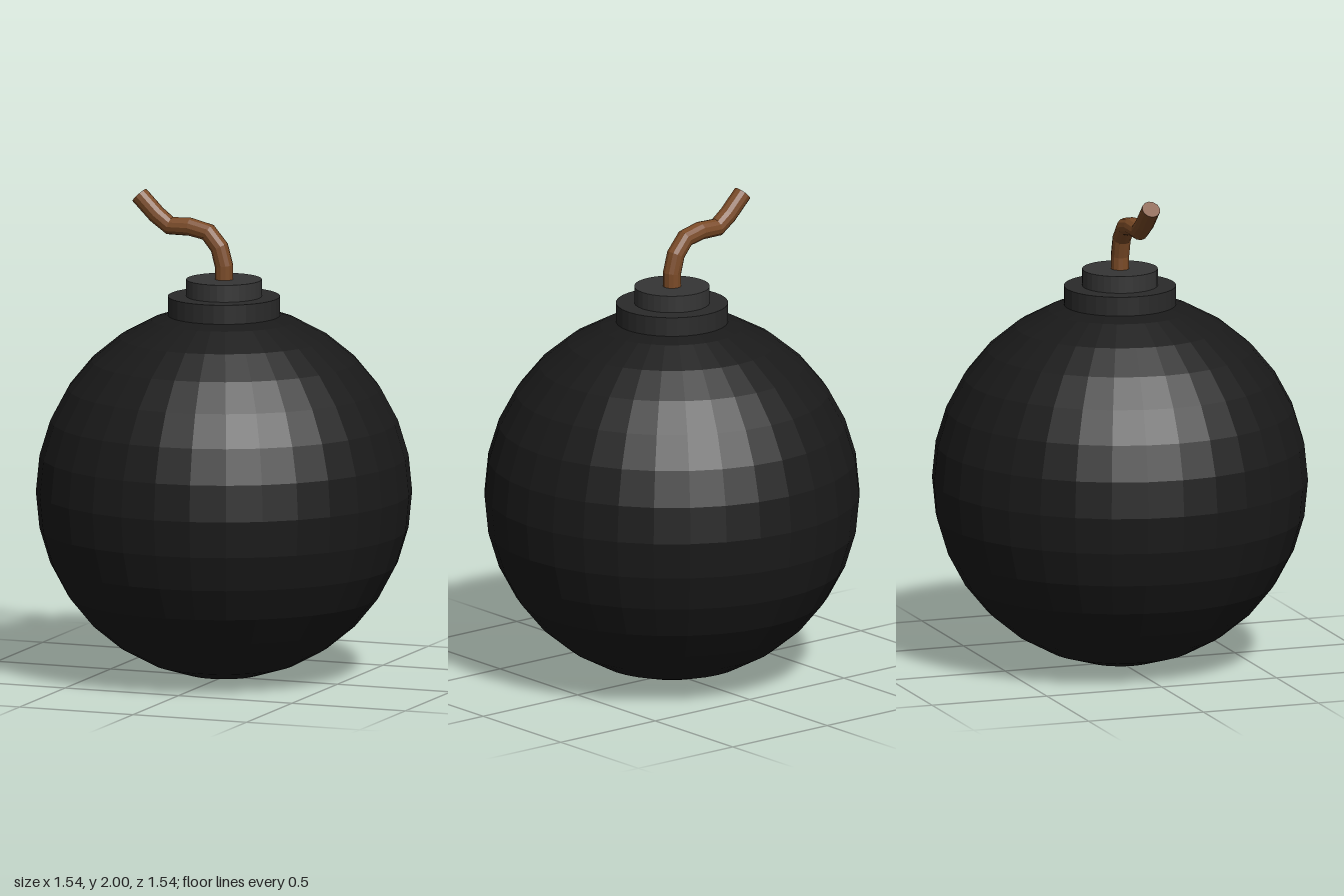
import * as THREE from 'three';

function part(name, geometry, color, y = 0) {
  const material = new THREE.MeshStandardMaterial({ color, flatShading: true });
  const mesh = new THREE.Mesh(geometry, material);
  mesh.name = name;
  mesh.position.y = y;
  return mesh;
}

export function createModel() {
  const model = new THREE.Group();
  model.name = 'roundBomb';

  // Faceted round body
  model.add(part('body', new THREE.SphereGeometry(0.77, 32, 16), 0x1a1a1a, 0.77));

  // Stepped collar, sunk into the top of the body
  model.add(part('collar', new THREE.CylinderGeometry(0.23, 0.23, 0.14, 32), 0x2a2a2a, 1.51));
  model.add(part('neck', new THREE.CylinderGeometry(0.155, 0.155, 0.11, 32), 0x353535, 1.595));

  // Bent fuse: one tube ring at each path point
  const points = [
    [0, 1.61], [0, 1.705], [-0.02, 1.78], [-0.07, 1.84], [-0.15, 1.858],
    [-0.238, 1.857], [-0.297, 1.9], [-0.373, 1.976],
  ].map(([x, y]) => new THREE.Vector3(x, y, 0));
  const path = new THREE.CatmullRomCurve3(points);
  path.getUtoTmapping = (u) => u;
  const radius = 0.038;
  const sides = 12;
  const fuse = new THREE.Group();
  fuse.name = 'fuse';
  fuse.add(part('fuseCord', new THREE.TubeGeometry(path, points.length - 1, radius, sides), 0x7a4a26));

  // Flat cut end of the fuse
  const tip = part('fuseTip', new THREE.CircleGeometry(radius, sides), 0x7a4a26);
  const end = points[points.length - 1];
  tip.position.copy(end);
  tip.lookAt(end.clone().add(path.getTangent(1)));
  fuse.add(tip);
  model.add(fuse);

  return model;
}
